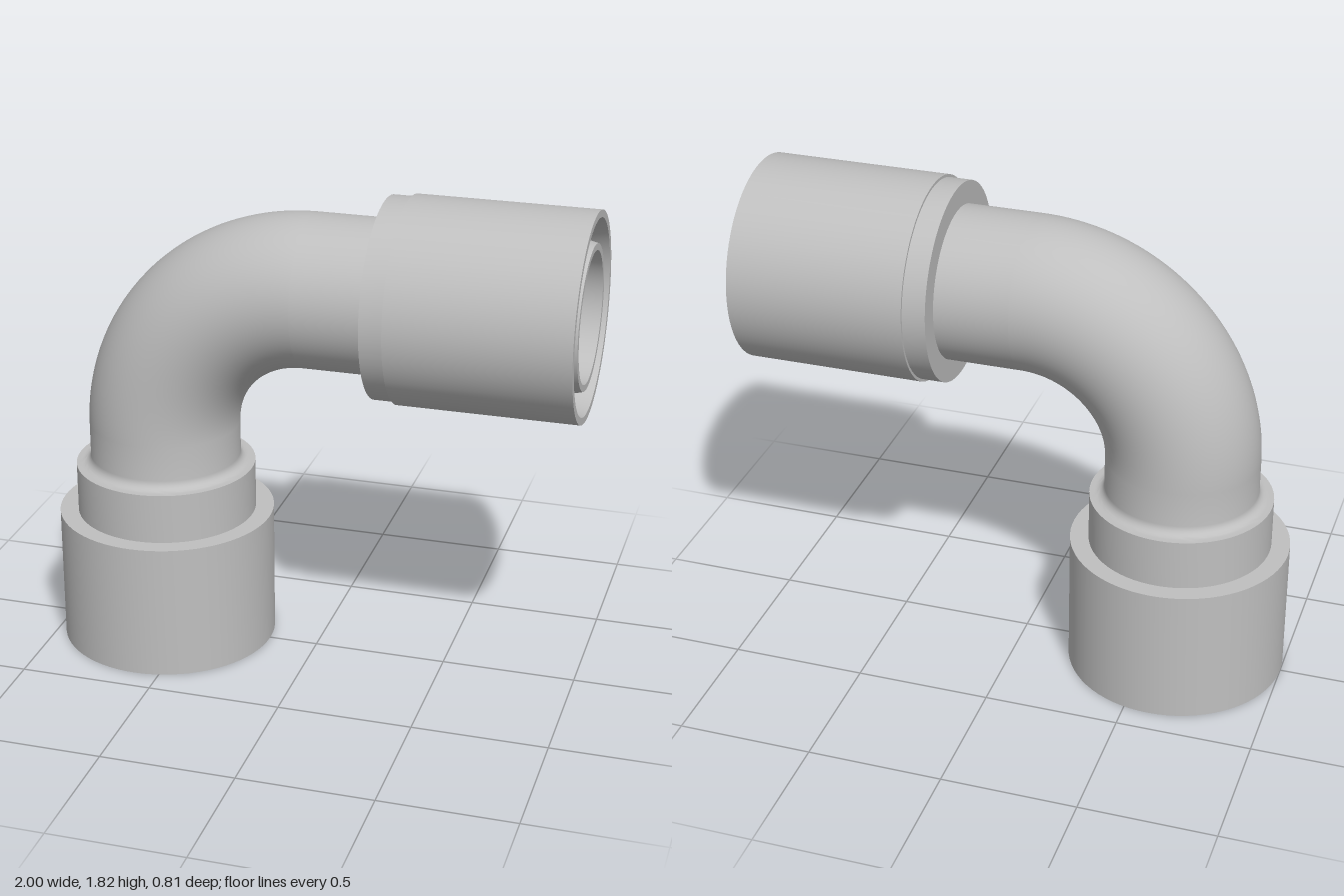
import * as THREE from 'three';
import { toCreasedNormals } from 'three/addons/utils/BufferGeometryUtils.js';

const AXIS_X = -0.593; // axis of the upright leg
const AXIS_Y = 1.44; // axis of the level leg
const BEND = 0.573; // bend radius of the centre line
const PIPE = 0.283, BORE = 0.236;
const BEND_X = AXIS_X + BEND, BEND_Y = AXIS_Y - BEND;

export function createModel() {
  const model = new THREE.Group();
  model.name = 'pipeElbow';
  const grey = new THREE.MeshStandardMaterial({ color: 0xbfbfbf, side: THREE.DoubleSide });
  grey.name = 'grey';

  const add = (name, geometry, x, y) => {
    const mesh = new THREE.Mesh(geometry, grey);
    mesh.name = name;
    mesh.position.set(x, y, 0);
    model.add(mesh);
    return mesh;
  };

  // Turned part from [radius, height] pairs, with sharp edges kept
  const turned = (points) => toCreasedNormals(
    new THREE.LatheGeometry(points.map(([r, h]) => new THREE.Vector2(r, h)), 72), 0.5);

  // Concave flare where the upright pipe meets its collar
  const flare = [];
  for (let i = 0; i <= 6; i++) {
    const a = (i / 6) * Math.PI / 2;
    flare.push([PIPE + 0.035 * (1 - Math.sin(a)), 0.74 - 0.035 * Math.cos(a)]);
  }

  // Upright leg: bore, open socket, stepped collar and pipe
  add('lowerSocket', turned([
    [BORE, BEND_Y], [BORE, 0.23], [0.25, 0.19], [0.37, 0.19], [0.37, 0.03],
    [0.395, 0], [0.407, 0], [0.407, 0.515], [0.338, 0.515], [0.338, 0.705],
    ...flare, [PIPE, BEND_Y],
  ]), AXIS_X, 0);

  // Level leg: pipe, stepped sleeve, annular groove, tapered spigot and bore
  add('sideSleeve', turned([
    [PIPE, BEND_X], [PIPE, 0.255], [0.367, 0.255], [0.367, 0.34], [0.377, 0.34],
    [0.377, 1], [0.35, 1], [0.32, 0.85], [0.285, 0.85], [0.283, 0.9],
    [0.26, 0.995], [BORE, 0.995], [BORE, BEND_X],
  ]), 0, AXIS_Y).rotation.z = -Math.PI / 2;

  // Quarter bend, outer and inner walls
  for (const [name, radius] of [['bendOuterWall', PIPE], ['bendInnerWall', BORE]]) {
    add(name, new THREE.TorusGeometry(BEND, radius, 72, 40, Math.PI / 2), BEND_X, BEND_Y)
      .rotation.z = Math.PI / 2;
  }
  return model;
}
